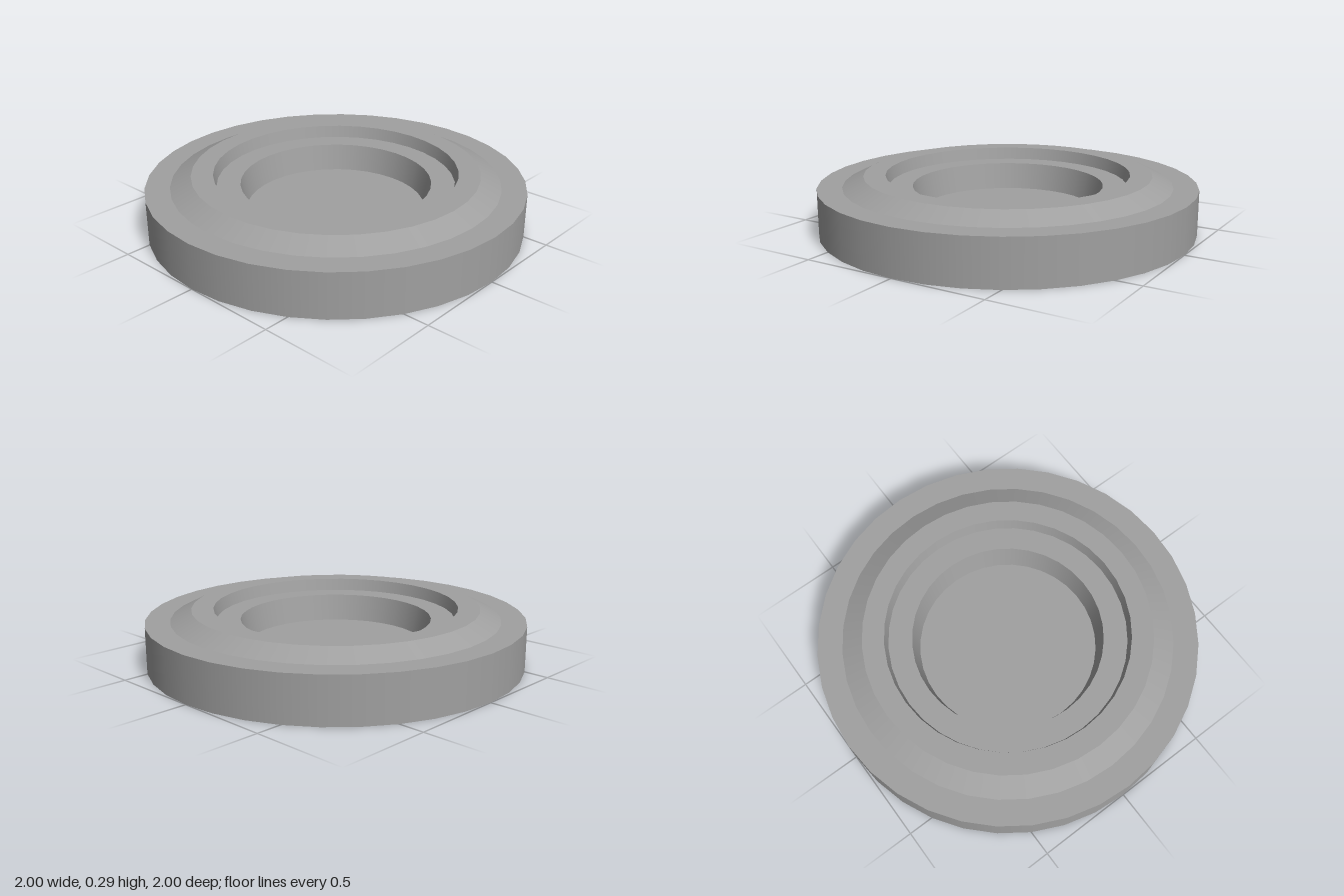
import * as THREE from 'three';

const SIDES = 36;

export function createModel() {
  const model = new THREE.Group();
  model.name = 'steppedDish';
  const grey = new THREE.MeshStandardMaterial({ color: 0xa0a0a0 });
  grey.name = 'grey';

  // Profile as [radius, height], from the centre of the base up and over into the well.
  // Each name belongs to the band that ends at that point.
  const start = [0, 0];
  const profile = [
    ['base', 1, 0],
    ['outerWall', 1, 0.24],
    ['rim', 0.87, 0.24],
    ['bevel', 0.76, 0.295],
    ['topRing', 0.645, 0.295],
    ['upperRecessWall', 0.63, 0.23],
    ['recessLedge', 0.505, 0.23],
    ['wellWall', 0.475, 0.087],
    ['wellFloor', 0, 0.087],
  ];

  // One lathe per band keeps the circles smooth and the edges between bands sharp.
  let previous = new THREE.Vector2(...start);
  for (const [name, radius, height] of profile) {
    const next = new THREE.Vector2(radius, height);
    const band = new THREE.Mesh(new THREE.LatheGeometry([previous, next], SIDES), grey);
    band.name = name;
    model.add(band);
    previous = next;
  }
  return model;
}
